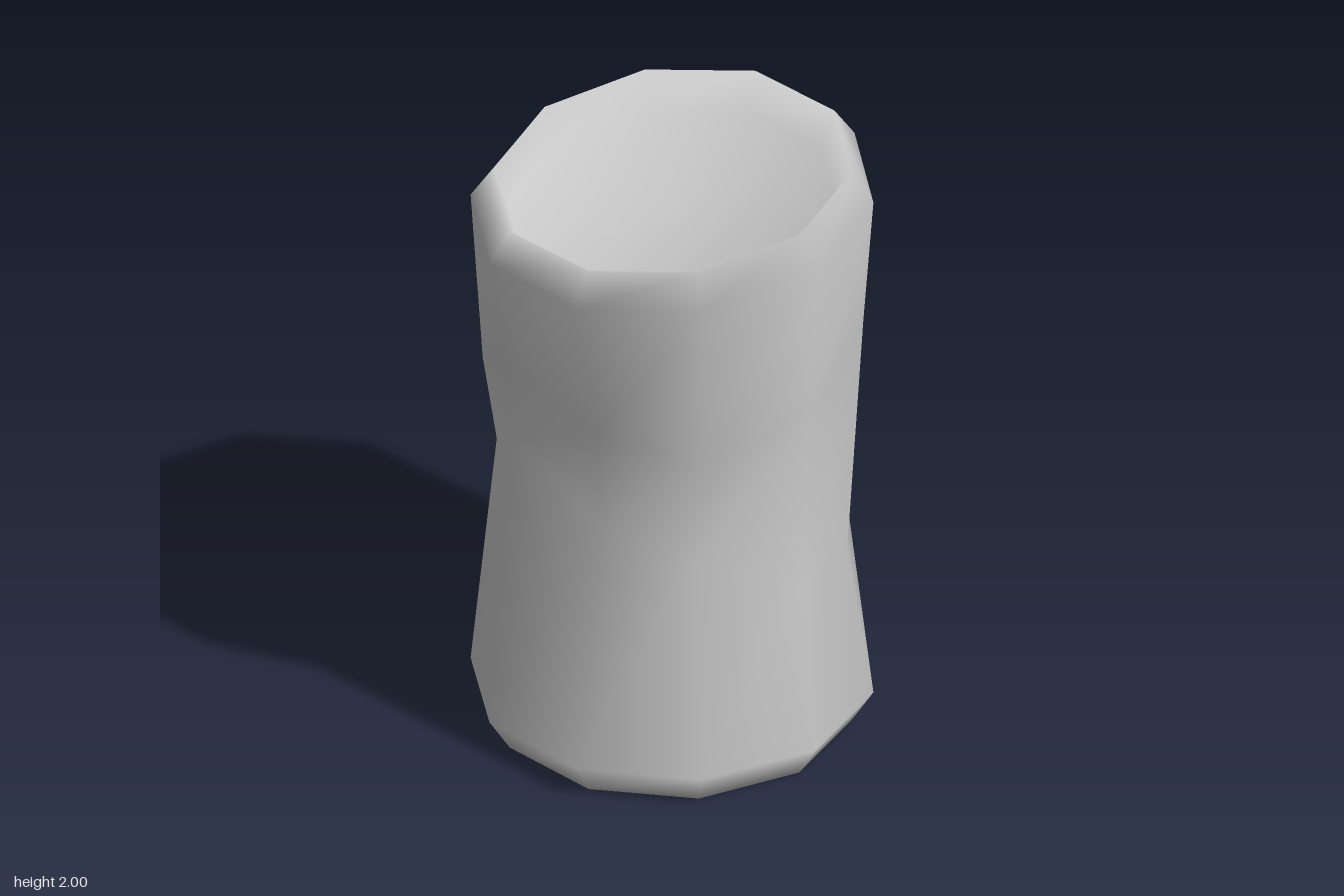
import * as THREE from 'three';

const SIDES = 10;

// Dented sections, one [radius factor, height] per side, from the front round by +x
const WAIST = [
  [0.81, 0.83], [0.9, 0.68], [0.87, 0.62], [0.96, 0.57], [0.94, 0.57],
  [0.825, 0.57], [0.87, 0.7], [0.87, 0.91], [0.86, 1.1], [0.74, 0.9],
];
const SHOULDER = [
  [0.85, 1.18], [0.95, 1.3], [0.95, 1.45], [0.985, 1.45], [0.97, 1.5],
  [0.93, 1.5], [0.98, 1.05], [0.94, 1.2], [0.92, 1.4], [0.81, 1.25],
];

// Points of a ring, given radius and height as functions of the side
function ring(radius, height) {
  return Array.from({ length: SIDES }, (_, k) => {
    const a = (k / SIDES) * Math.PI * 2;
    const s = Math.sin(a);
    const c = Math.cos(a);
    const r = radius(k);
    return [r * s, height(k, s, c), r * c];
  });
}

const flat = (r, y) => ring(() => r, () => y);
const tilted = (r, y) => ring(() => r, (k, s, c) => y + 0.06 * s - 0.03 * c);
const dented = (table) => ring((k) => 0.63 * table[k][0], (k) => table[k][1]);

function loft(rings, bottomY, topY) {
  const pos = rings.flat(2);
  const index = [];
  // Walls
  for (let j = 0; j < rings.length - 1; j++) {
    for (let k = 0; k < SIDES; k++) {
      const a = j * SIDES + k;
      const b = j * SIDES + ((k + 1) % SIDES);
      index.push(a, b, b + SIDES, a, b + SIDES, a + SIDES);
    }
  }
  // Closed ends, sunk inside the rims
  const last = (rings.length - 1) * SIDES;
  const bottom = pos.length / 3;
  pos.push(0, bottomY, 0, 0, topY, 0);
  for (let k = 0; k < SIDES; k++) {
    const n = (k + 1) % SIDES;
    index.push(bottom, n, k);
    index.push(bottom + 1, last + k, last + n);
  }
  const geo = new THREE.BufferGeometry();
  geo.setAttribute('position', new THREE.Float32BufferAttribute(pos, 3));
  geo.setIndex(index);
  geo.computeVertexNormals();
  return geo;
}

export function createModel() {
  // From the bottom recess, up the outside, to the top recess
  const rings = [
    flat(0.515, 0.12),
    flat(0.56, 0),
    flat(0.63, 0.11),
    dented(WAIST),
    dented(SHOULDER),
    tilted(0.63, 1.83),
    tilted(0.56, 1.93),
    tilted(0.515, 1.81),
  ];
  const can = new THREE.Mesh(
    loft(rings, 0.12, 1.81),
    new THREE.MeshStandardMaterial({ color: 0xcccccc })
  );
  can.name = 'canBody';
  const group = new THREE.Group();
  group.name = 'dentedCan';
  group.add(can);
  return group;
}
